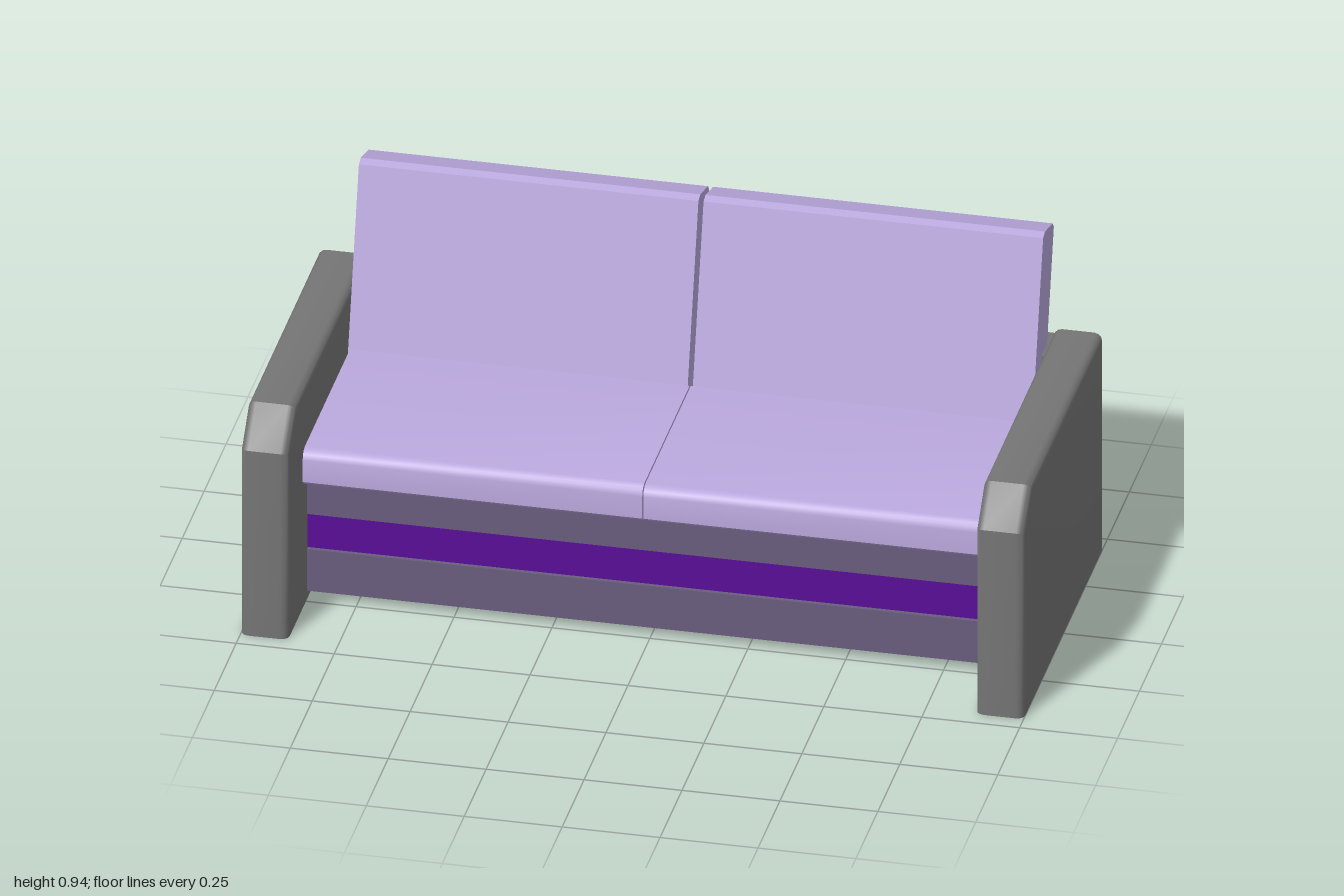
import * as THREE from 'three';
import { toCreasedNormals } from 'three/addons/utils/BufferGeometryUtils.js';

const material = (color) => new THREE.MeshStandardMaterial({ color, side: THREE.DoubleSide });

// Extrudes a side profile of [z, y] points along x, centred on x = 0
function extrudeProfile(points, width, bevel = 0) {
  const shape = new THREE.Shape(points.map(([z, y]) => new THREE.Vector2(z, y)));
  const geometry = new THREE.ExtrudeGeometry(shape, {
    depth: width - 2 * bevel,
    bevelEnabled: bevel > 0,
    bevelThickness: bevel,
    bevelSize: bevel,
    bevelOffset: -bevel,
    bevelSegments: 3,
  });
  geometry.translate(0, 0, bevel - width / 2);
  geometry.rotateY(-Math.PI / 2);
  return geometry;
}

export function createModel() {
  const group = new THREE.Group();
  const frame = material(0x757575);
  const fabric = material(0xb9a7dc);
  const board = material(0x6a5d7e);
  const accent = material(0x5a0d98);

  function add(name, geometry, mat, x = 0, y = 0, z = 0) {
    const mesh = new THREE.Mesh(geometry, mat);
    mesh.name = name;
    mesh.position.set(x, y, z);
    group.add(mesh);
  }

  // Armrest: chamfered front corner, rounded top and front, flat bottom and back
  const BEVEL = 0.02;
  const BACK = -0.44;
  let arm = extrudeProfile(
    [[BACK, 0], [0.455, 0], [0.455, 0.525], [0.365, 0.617], [BACK, 0.617]], 0.122, BEVEL);
  const p = arm.attributes.position;
  for (let i = 0; i < p.count; i++) {
    if (p.getY(i) < BEVEL + 0.001) p.setY(i, 0);
    if (p.getZ(i) < BACK + BEVEL + 0.001) p.setZ(i, BACK);
  }
  arm = toCreasedNormals(arm, 0.6);

  // Seat cushion half with a rounded front edge
  const seat = toCreasedNormals(extrudeProfile([
    [-0.21, 0.375], [0.322, 0.375], [0.33, 0.383], [0.33, 0.445],
    [0.326, 0.459], [0.318, 0.467], [0.304, 0.471], [-0.21, 0.471],
  ], 0.867), 0.6);

  // Leaning back cushion half with clipped top corners
  const backrest = extrudeProfile([
    [-0.187, 0.38], [-0.333, 0.93], [-0.355, 0.937],
    [-0.443, 0.913], [-0.455, 0.897], [-0.318, 0.38],
  ], 0.867);

  for (const [side, s] of [['left', 1], ['right', -1]]) {
    add(side + 'Armrest', arm, frame, s * 0.939);
    add(side + 'SeatCushion', seat, fabric, s * 0.435);
    add(side + 'BackCushion', backrest, fabric, s * 0.44);
  }

  // Rear panel and the ledge along its top
  add('rearPanel', new THREE.BoxGeometry(1.77, 0.605, 0.015), frame, 0, 0.3025, -0.431);
  add('rearLedge', new THREE.BoxGeometry(1.77, 0.015, 0.12), frame, 0, 0.597, -0.375);

  // Front boards with a recessed coloured strip between them
  add('lowerFrontBoard', new THREE.BoxGeometry(1.77, 0.118, 0.016), board, 0, 0.084, 0.232);
  add('frontStrip', new THREE.BoxGeometry(1.77, 0.094, 0.01), accent, 0, 0.193, 0.229);
  add('upperFrontBoard', new THREE.BoxGeometry(1.77, 0.132, 0.016), board, 0, 0.309, 0.232);

  return group;
}
